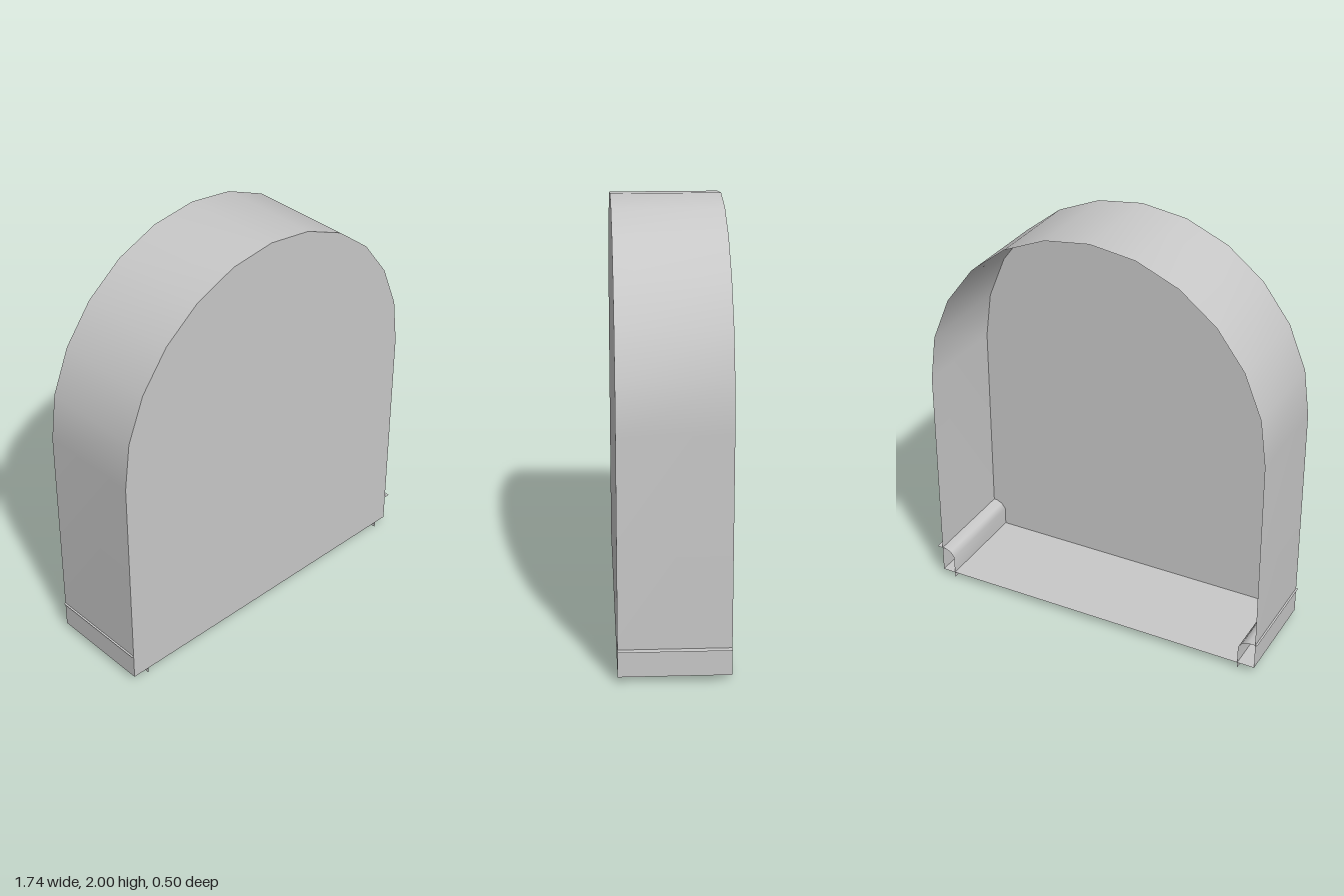
import * as THREE from 'three';

const HALF_DEPTH = 0.25;

// Thin sheet made by sweeping a profile (list of [x, y]) from front to back
function sheet(profile) {
  const positions = [], index = [];
  profile.forEach(([x, y], i) => {
    positions.push(x, y, HALF_DEPTH, x, y, -HALF_DEPTH);
    if (i < profile.length - 1) {
      const a = 2 * i;
      index.push(a, a + 1, a + 3, a, a + 3, a + 2);
    }
  });
  const geometry = new THREE.BufferGeometry();
  geometry.setAttribute('position', new THREE.Float32BufferAttribute(positions, 3));
  geometry.setIndex(index);
  geometry.computeVertexNormals();
  return geometry;
}

export function createModel() {
  const model = new THREE.Group();
  model.name = 'archedShell';
  const grey = new THREE.MeshStandardMaterial({ color: 0xc8c8c8, side: THREE.DoubleSide });
  grey.name = 'light grey';

  const add = (name, geometry) => {
    const mesh = new THREE.Mesh(geometry, grey);
    mesh.name = name;
    model.add(mesh);
    return mesh;
  };

  // Arch outline: straight sides under a twelve-sided half round
  const cx = -0.01, rx = 0.85, floorY = 0.03, springY = 1.13, ry = 0.87;
  const outline = [[cx + rx, floorY]];
  for (let i = 0; i <= 12; i++) {
    const a = (Math.PI * i) / 12;
    outline.push([cx + rx * Math.cos(a), springY + ry * Math.sin(a)]);
  }
  outline.push([cx - rx, floorY]);

  // Outer wall, open at the back
  add('archWall', sheet(outline));

  // Front panel
  const shape = new THREE.Shape(outline.map(([x, y]) => new THREE.Vector2(x, y)));
  add('frontPanel', new THREE.ShapeGeometry(shape)).position.z = HALF_DEPTH;

  // Floor
  add('floor', sheet([[cx - rx, floorY], [cx + rx, floorY]].reverse()));

  // Bent strips in the bottom corners: a fin through the wall, a leg through the floor
  const strip = [[0.87, 0.16], [0.825, 0.16], [0.795, 0.147], [0.775, 0.12], [0.775, 0]];
  add('leftCornerStrip', sheet(strip));
  add('rightCornerStrip', sheet(strip.map(([x, y]) => [-x, y]).reverse()));

  return model;
}
